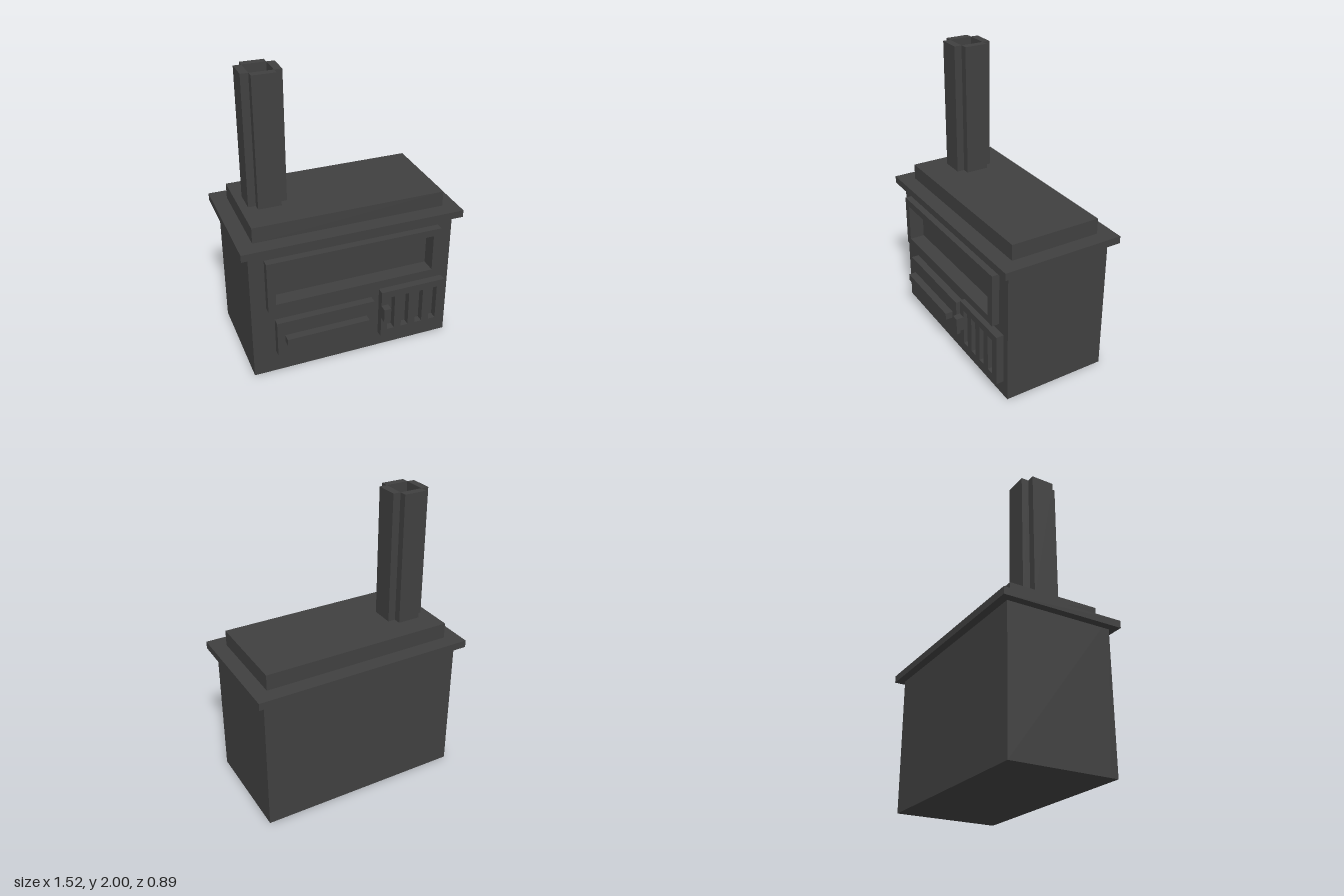
import * as THREE from 'three';

export function createModel() {
  const stove = new THREE.Group();
  stove.name = 'stove';
  const iron = new THREE.MeshStandardMaterial({ color: 0x404040 });
  iron.name = 'cast iron';

  function add(name, geometry) {
    const mesh = new THREE.Mesh(geometry, iron);
    mesh.name = name;
    stove.add(mesh);
    return mesh;
  }

  // Box given by its limits on each axis
  function box(name, x0, x1, y0, y1, z0, z1) {
    const mesh = add(name, new THREE.BoxGeometry(x1 - x0, y1 - y0, z1 - z0));
    mesh.position.set((x0 + x1) / 2, (y0 + y1) / 2, (z0 + z1) / 2);
  }

  // Upright panel with rectangular openings; each rectangle is [x0, x1, y0, y1]
  function panel(name, outer, holes, z0, z1) {
    const corners = ([x0, x1, y0, y1]) => [[x0, y0], [x1, y0], [x1, y1], [x0, y1]]
      .map(([x, y]) => new THREE.Vector2(x, y));
    const shape = new THREE.Shape(corners(outer));
    shape.holes = holes.map((hole) => new THREE.Path(corners(hole).reverse()));
    const geometry = new THREE.ExtrudeGeometry(shape, { depth: z1 - z0, bevelEnabled: false });
    add(name, geometry).position.z = z0;
  }

  // Body, with the front wall open behind the oven window
  const opening = [-0.555, 0.55, 0.58, 0.845];
  box('body', -0.71, 0.705, 0, 0.95, -0.393, 0.29);
  panel('frontWall', [-0.71, 0.705, 0, 0.95], [opening], 0.29, 0.342);

  // Stepped top
  box('topSlab', -0.763, 0.758, 0.95, 1, -0.447, 0.394);
  box('hotPlate', -0.66, 0.657, 1, 1.108, -0.342, 0.287);

  // Oven frame
  panel('ovenFrame', [-0.608, 0.603, 0.53, 0.895], [opening], 0.342, 0.394);

  // Drawer and its bar handle
  box('drawer', -0.555, 0.13, 0.162, 0.424, 0.342, 0.394);
  box('drawerHandle', -0.503, 0.075, 0.27, 0.32, 0.394, 0.447);

  // Slotted fire door and latch
  const slots = [0.231, 0.337, 0.443, 0.549].map((x) => [x, x + 0.053, 0.16, 0.424]);
  panel('fireDoor', [0.185, 0.655, 0.11, 0.476], slots, 0.342, 0.394);
  box('doorLatch', 0.183, 0.233, 0.27, 0.37, 0.394, 0.447);

  // Hollow chimney made of four walls around a square flue
  const [x0, x1, z0, z1, t] = [-0.555, -0.398, -0.132, 0.026, 0.052];
  box('chimneyRightWall', x0 - t, x0, 1.108, 2, z0, z1);
  box('chimneyLeftWall', x1, x1 + t, 1.108, 2, z0, z1);
  box('chimneyBackWall', x0, x1, 1.108, 2, z0 - t, z0);
  box('chimneyFrontWall', x0, x1, 1.108, 2, z1, z1 + t);

  return stove;
}
